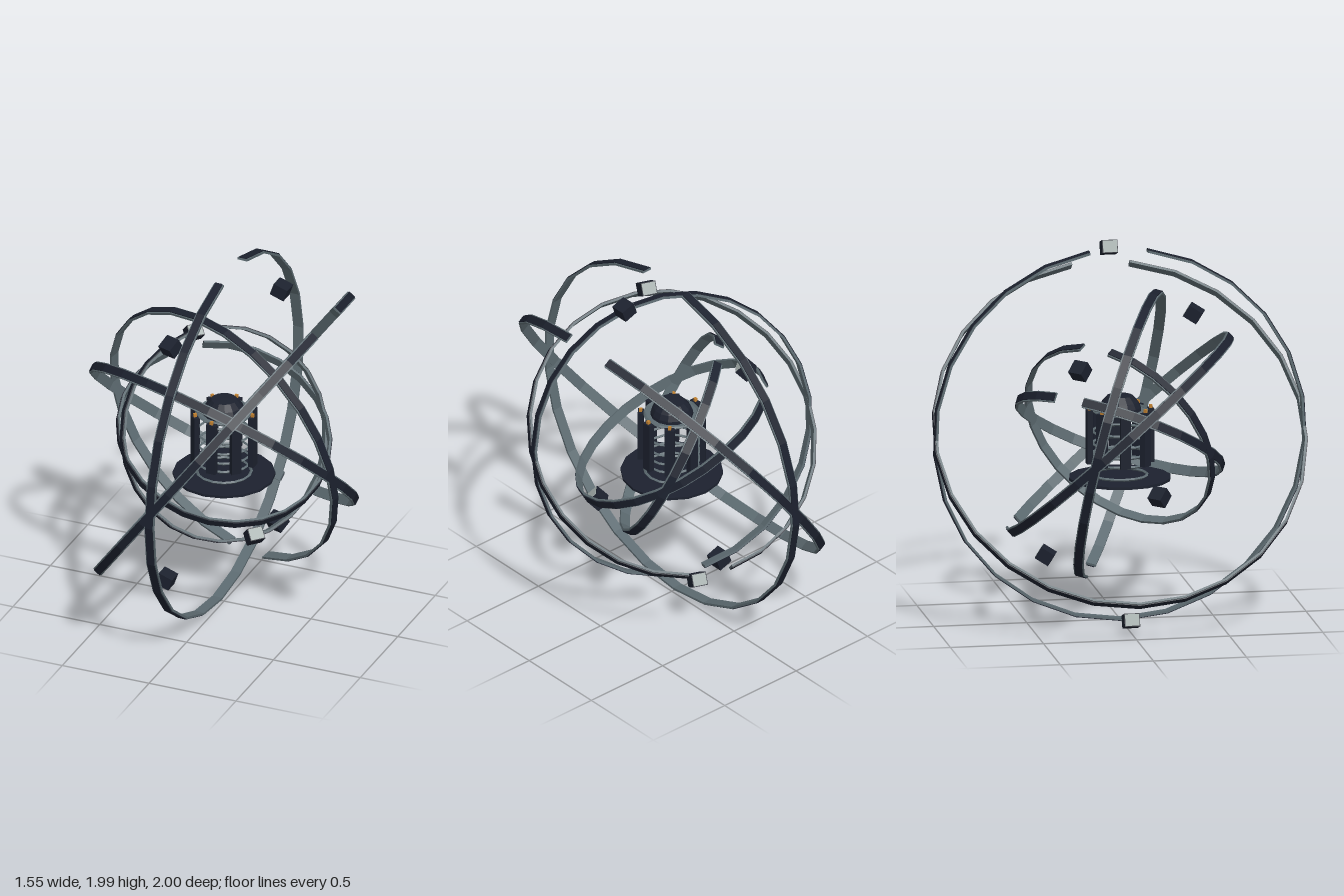
import * as THREE from 'three';

const mat = (color) => new THREE.MeshStandardMaterial({ color, flatShading: true });
const dark = mat(0x1c212e), steel = mat(0x5c6a70), pale = mat(0xa4aeac), amber = mat(0xc08030);

// Box bent into a faceted hoop with an 18 degree opening towards +z
function bentBand(inner, outer, width) {
  const geo = new THREE.BoxGeometry(outer - inner, width, 1, 1, 1, 24);
  const pos = geo.attributes.position;
  const mid = (inner + outer) / 2;
  for (let i = 0; i < pos.count; i++) {
    const a = Math.PI - pos.getZ(i) * Math.PI * 1.9;
    const r = mid + pos.getX(i);
    pos.setXYZ(i, r * Math.sin(a), pos.getY(i), r * Math.cos(a));
  }
  geo.computeVertexNormals();
  return geo;
}

function add(parent, name, geo, material, x = 0, y = 0, z = 0) {
  const mesh = new THREE.Mesh(geo, material);
  mesh.name = name;
  mesh.position.set(x, y, z);
  parent.add(mesh);
  return mesh;
}

// Two open hoops crossing on a shared axis, with a block between them at each end
function hoopPair(name, radius, axis, towardGap) {
  const pair = new THREE.Group();
  pair.name = name;
  const p = new THREE.Vector3(...axis).normalize();
  const m = new THREE.Vector3(...towardGap);
  m.addScaledVector(p, -m.dot(p)).normalize();

  const orient = (obj, normal, forward) => obj.quaternion.setFromRotationMatrix(
    new THREE.Matrix4().makeBasis(normal.clone().cross(forward), normal, forward));

  for (const side of [-1, 1]) {
    const hoop = new THREE.Group();
    hoop.name = 'openHoop';
    const g = m.clone().applyAxisAngle(p, side * 0.3);
    orient(hoop, p.clone().cross(g), g);
    add(hoop, 'hoopOuterPlate', bentBand(radius - 0.005, radius, 0.042), dark);
    add(hoop, 'hoopInnerBand', bentBand(radius - 0.017, radius - 0.005, 0.055), steel);
    pair.add(hoop);

    // Block with one pale side
    const block = new THREE.Group();
    block.name = 'floatingBlock';
    const outward = m.clone().multiplyScalar(side);
    orient(block, p, outward);
    block.position.copy(outward).multiplyScalar(radius * 0.992);
    add(block, 'blockBody', new THREE.BoxGeometry(0.082, 0.083, 0.07), dark);
    add(block, 'blockPaleSide', new THREE.BoxGeometry(0.004, 0.075, 0.062), pale, side * 0.0415, 0, 0);
    pair.add(block);
  }
  pair.position.y = 1.003;
  return pair;
}

function createCore() {
  const core = new THREE.Group();
  core.name = 'core';

  // Base disc with small fins underneath
  add(core, 'baseDisc', new THREE.CylinderGeometry(0.272, 0.272, 0.014, 16), dark, 0, 0.768, 0);
  for (let i = 0; i < 4; i++) {
    const a = (i + 0.5) * Math.PI / 2;
    const fin = add(core, 'baseFin', new THREE.CylinderGeometry(0.04, 0.04, 0.006, 3), pale,
      0.07 * Math.sin(a), 0.759, 0.07 * Math.cos(a));
    fin.rotation.y = a;
  }

  // Cage of upright posts with glowing tips
  for (let i = 0; i < 8; i++) {
    const post = new THREE.Group();
    post.name = 'cagePost';
    post.rotation.y = i * Math.PI / 4;
    add(post, 'postBar', new THREE.BoxGeometry(0.055, 0.29, 0.03), dark, 0, 0.995, 0.165);
    add(post, 'postTip', new THREE.BoxGeometry(0.016, 0.02, 0.016), amber, 0, 1.148, 0.165);
    core.add(post);
  }

  // Thin hoops stacked inside the cage
  for (const y of [0.785, 0.85, 0.9, 0.955, 1.02, 1.135]) {
    const ring = add(core, 'cageRing', new THREE.TorusGeometry(0.145, 0.008, 4, 16), steel, 0, y, 0);
    ring.rotation.x = Math.PI / 2;
  }

  // Faceted cap
  const cap = [[0, 1.125], [0.115, 1.125], [0.112, 1.15], [0.098, 1.18], [0.068, 1.213], [0, 1.218]];
  add(core, 'domeCap', new THREE.LatheGeometry(cap.map(([r, y]) => new THREE.Vector2(r, y)), 14), dark);
  add(core, 'capRim', new THREE.CylinderGeometry(0.14, 0.14, 0.01, 16), steel, 0, 1.128, 0);
  return core;
}

export function createModel() {
  const model = new THREE.Group();
  model.name = 'hoopedCore';
  model.add(
    hoopPair('outerHoops', 1.003, [0, 0, 1], [0.333, 0.943, 0]),
    hoopPair('middleHoops', 0.79, [0.94, 0.018, 0.338], [0.186, -0.86, -0.474]),
    hoopPair('innerHoops', 0.578, [0.699, 0.03, -0.714], [-0.504, 0.73, -0.461]),
    createCore());
  return model;
}
